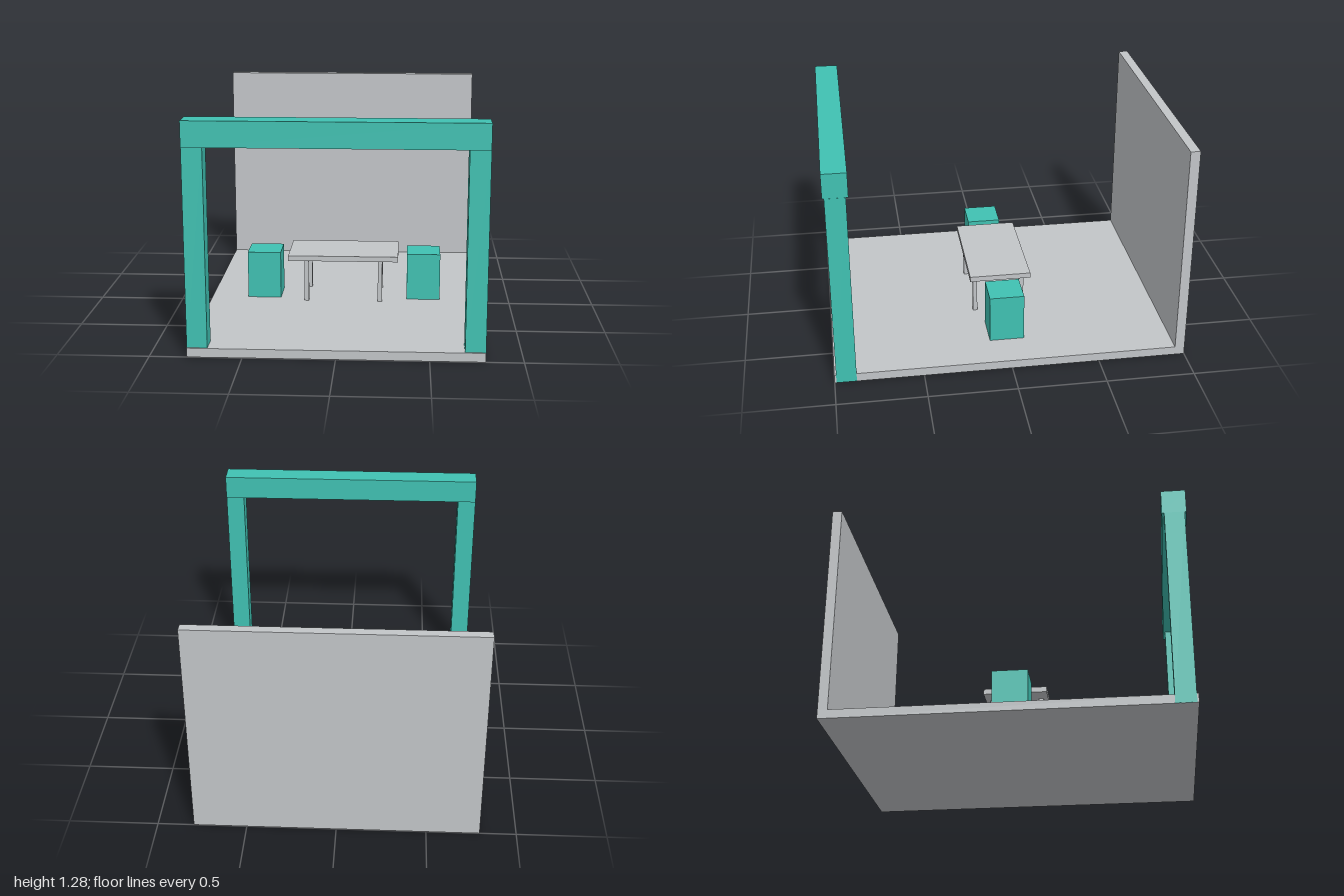
import * as THREE from 'three';

export function createModel() {
  const model = new THREE.Group();
  model.name = 'pavilion';

  const grey = new THREE.MeshStandardMaterial({ color: 0xc2c5c8 });
  grey.name = 'light grey';
  const teal = new THREE.MeshStandardMaterial({ color: 0x40c1b2 });
  teal.name = 'teal';

  // Box given by its extents along each axis
  function block(name, material, [x0, x1], [y0, y1], [z0, z1], parent = model) {
    const mesh = new THREE.Mesh(new THREE.BoxGeometry(x1 - x0, y1 - y0, z1 - z0), material);
    mesh.position.set((x0 + x1) / 2, (y0 + y1) / 2, (z0 + z1) / 2);
    mesh.name = name;
    parent.add(mesh);
  }

  const half = 0.797;
  const floorTop = 0.05;

  // Floor slab and back wall
  block('floor', grey, [-half, half], [0, floorTop], [-1, 1]);
  block('backWall', grey, [-half, half], [floorTop, 1.277], [-1, -0.945]);

  // Entrance frame: the posts run down through the slab, just proud of its sides
  const frame = new THREE.Group();
  frame.name = 'entranceFrame';
  model.add(frame);
  block('leftPost', teal, [0.687, half + 0.001], [0.001, 1.14], [0.877, 0.99], frame);
  block('rightPost', teal, [-half - 0.001, -0.687], [0.001, 1.14], [0.877, 0.99], frame);
  block('beam', teal, [-half, half], [1.14, 1.28], [0.864, 1], frame);

  // Table
  const table = new THREE.Group();
  table.name = 'table';
  model.add(table);
  block('tableTop', grey, [-0.328, 0.324], [0.303, 0.334], [-0.181, 0.177], table);
  for (const x of [-0.221, 0.217]) {
    for (const z of [-0.143, 0.137]) {
      block('tableLeg', grey, [x - 0.013, x + 0.013], [floorTop, 0.303], [z - 0.013, z + 0.013], table);
    }
  }

  // Stools at both ends of the table
  for (const x of [-0.48, 0.476]) {
    block('stool', teal, [x - 0.099, x + 0.099], [floorTop, 0.33], [-0.102, 0.097]);
  }

  return model;
}
